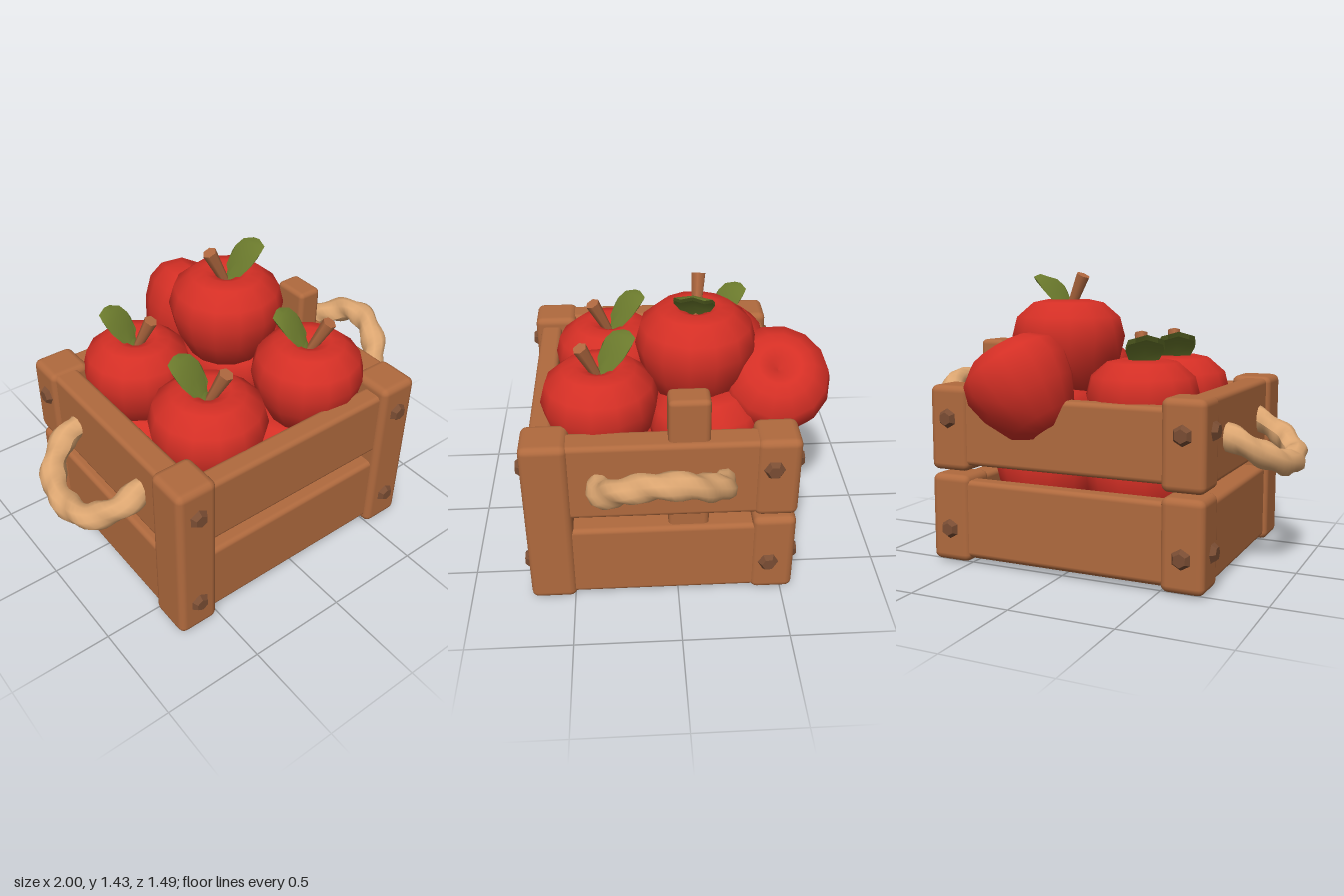
import * as THREE from 'three';
import { RoundedBoxGeometry } from 'three/addons/geometries/RoundedBoxGeometry.js';

const mat = (name, color) => {
  const m = new THREE.MeshStandardMaterial({ color });
  m.name = name;
  return m;
};

export function createModel() {
  const root = new THREE.Group();
  const wood = mat('wood', 0xb06a3e);
  const nailMat = mat('nail brown', 0x7a4d33);
  const red = mat('apple red', 0xd42f25);
  const stemMat = mat('stem brown', 0xb0683f);
  const green = mat('leaf green', 0x6c7b2d);
  const ropeMat = mat('rope', 0xdca671);
  nailMat.flatShading = true;

  const add = (parent, name, geometry, material, pos = [0, 0, 0], rot = [0, 0, 0]) => {
    const mesh = new THREE.Mesh(geometry, material);
    mesh.name = name;
    mesh.position.set(...pos);
    mesh.rotation.set(...rot);
    parent.add(mesh);
    return mesh;
  };

  // Bevelled timber given by its lower and upper limits
  const plank = (parent, name, x0, x1, y0, y1, z0, z1, r = 0.025) =>
    add(parent, name, new RoundedBoxGeometry(x1 - x0, y1 - y0, z1 - z0, 2, r), wood,
      [(x0 + x1) / 2, (y0 + y1) / 2, (z0 + z1) / 2]);

  // Crate boards
  const crate = new THREE.Group();
  crate.name = 'crate';
  root.add(crate);
  plank(crate, 'floor', -0.66, 0.64, 0.03, 0.1, -0.52, 0.66, 0.02);
  for (const [label, f0, f1, s0, s1] of [['lower', 0.04, 0.425, 0.025, 0.41], ['upper', 0.5, 0.845, 0.48, 0.88]]) {
    plank(crate, label + 'FrontBoard', -0.66, 0.64, f0, f1, 0.57, 0.68);
    plank(crate, label + 'BackBoard', -0.66, 0.64, f0, f1, -0.54, -0.44);
    plank(crate, label + 'RightBoard', -0.7, -0.57, s0, s1, -0.5, 0.66);
    plank(crate, label + 'LeftBoard', 0.55, 0.685, s0, s1, -0.5, 0.66);
  }
  plank(crate, 'upright', 0.53, 0.66, 0.08, 1.09, -0.145, 0.045);

  // Corner posts: whole at the front, split at the back
  const nailGeo = new THREE.CylinderGeometry(0.032, 0.064, 0.045, 6);
  for (const s of [-1, 1]) {
    const cx = -0.01 + s * 0.605;
    plank(crate, 'frontPost', cx - 0.105, cx + 0.105, 0.005, 0.89, 0.49, 0.71, 0.035);
    plank(crate, 'lowerBackPost', cx - 0.105, cx + 0.105, 0.015, 0.45, -0.555, -0.35, 0.035);
    plank(crate, 'upperBackPost', cx - 0.105, cx + 0.105, 0.47, 0.89, -0.555, -0.35, 0.035);
    for (const y of [0.18, 0.73]) {
      add(crate, 'frontNail', nailGeo, nailMat, [cx, y, 0.712], [Math.PI / 2, 0, 0]);
      add(crate, 'backNail', nailGeo, nailMat, [cx, y, -0.557], [-Math.PI / 2, 0, 0]);
      add(crate, 'sideNail', nailGeo, nailMat, [cx + s * 0.107, y + 0.01, -0.43], [0, 0, -s * Math.PI / 2]);
    }
  }

  // Twisted rope handles: a tube with its radius rippled in a spiral
  const rope = (name, pts) => {
    const curve = new THREE.CatmullRomCurve3(pts.map(p => new THREE.Vector3(...p)));
    const rings = 40, sides = 10;
    const g = new THREE.TubeGeometry(curve, rings, 0.06, sides);
    const p = g.attributes.position, v = new THREE.Vector3();
    for (let i = 0; i <= rings; i++) {
      const c = curve.getPointAt(i / rings);
      for (let j = 0; j <= sides; j++) {
        const k = i * (sides + 1) + j;
        const f = 1 + 0.13 * Math.cos(2 * (j / sides) * Math.PI * 2 + i * 0.9);
        v.fromBufferAttribute(p, k).sub(c).multiplyScalar(f).add(c);
        p.setXYZ(k, v.x, v.y, v.z);
      }
    }
    g.computeVertexNormals();
    add(root, name, g, ropeMat);
  };
  rope('leftHandle', [[0.64, 0.66, -0.2], [0.78, 0.72, -0.19], [0.89, 0.81, -0.07], [0.93, 0.855, 0.07],
    [0.89, 0.81, 0.23], [0.79, 0.71, 0.34], [0.64, 0.66, 0.36]]);
  rope('rightHandle', [[-0.66, 0.7, -0.19], [-0.79, 0.64, -0.18], [-0.91, 0.56, -0.07], [-0.94, 0.53, 0.09],
    [-0.91, 0.56, 0.26], [-0.8, 0.63, 0.36], [-0.66, 0.7, 0.37]]);

  // Apple body profile, from base to dimple
  const appleGeo = new THREE.LatheGeometry([[0, -0.21], [0.09, -0.245], [0.19, -0.185], [0.26, -0.05], [0.287, 0.07],
    [0.262, 0.165], [0.18, 0.235], [0.11, 0.25], [0.05, 0.225], [0, 0.18]]
    .map(p => new THREE.Vector2(...p)), 14);

  // Curved leaf: a thin box bent up and back, widest in the middle
  const leafGeo = new THREE.BoxGeometry(1, 0.025, 1, 2, 1, 4);
  const lp = leafGeo.attributes.position;
  for (let i = 0; i < lp.count; i++) {
    const t = 0.5 - lp.getZ(i), x = lp.getX(i);
    const w = 0.07 + 0.12 * Math.sin(Math.PI * Math.min(1, t * 0.9));
    const y = 0.15 * Math.sin(t * Math.PI / 2) - Math.abs(x) * 0.03;
    lp.setXYZ(i, x * w, y + lp.getY(i), -0.01 - 0.16 * t - lp.getY(i) * 0.7);
  }
  leafGeo.computeVertexNormals();
  const stemGeo = new THREE.CylinderGeometry(0.036, 0.022, 0.2, 6);

  const apple = (x, y, z, { yaw = 0, roll = 0, size = 1, stem = true } = {}) => {
    const g = new THREE.Group();
    g.name = 'apple';
    g.position.set(x, y, z);
    g.rotation.set(0, yaw, roll);
    g.scale.setScalar(size);
    add(g, 'appleBody', appleGeo, red);
    if (stem) {
      add(g, 'stem', stemGeo, stemMat, [0, 0.28, 0.05], [0.45, 0, 0]);
      add(g, 'leaf', leafGeo, green, [0, 0.215, 0]);
    }
    root.add(g);
  };

  // Heaped apples
  apple(-0.26, 0.76, 0.3, { yaw: 0.45 });
  apple(-0.3, 0.79, -0.24, { yaw: 0.5, size: 0.95 });
  apple(0.31, 0.84, 0.35, { yaw: 0.55, size: 0.97 });
  apple(0.16, 1.05, -0.11, { yaw: -1.75 });
  apple(0.2, 0.88, -0.49, { roll: -0.6, size: 0.92, stem: false });
  apple(0.26, 0.68, -0.16, { stem: false });

  // Apples below, showing through the gaps
  for (const x of [-0.26, 0.24])
    for (const z of [-0.15, 0.28]) apple(x, 0.41, z, { stem: false });

  return root;
}
